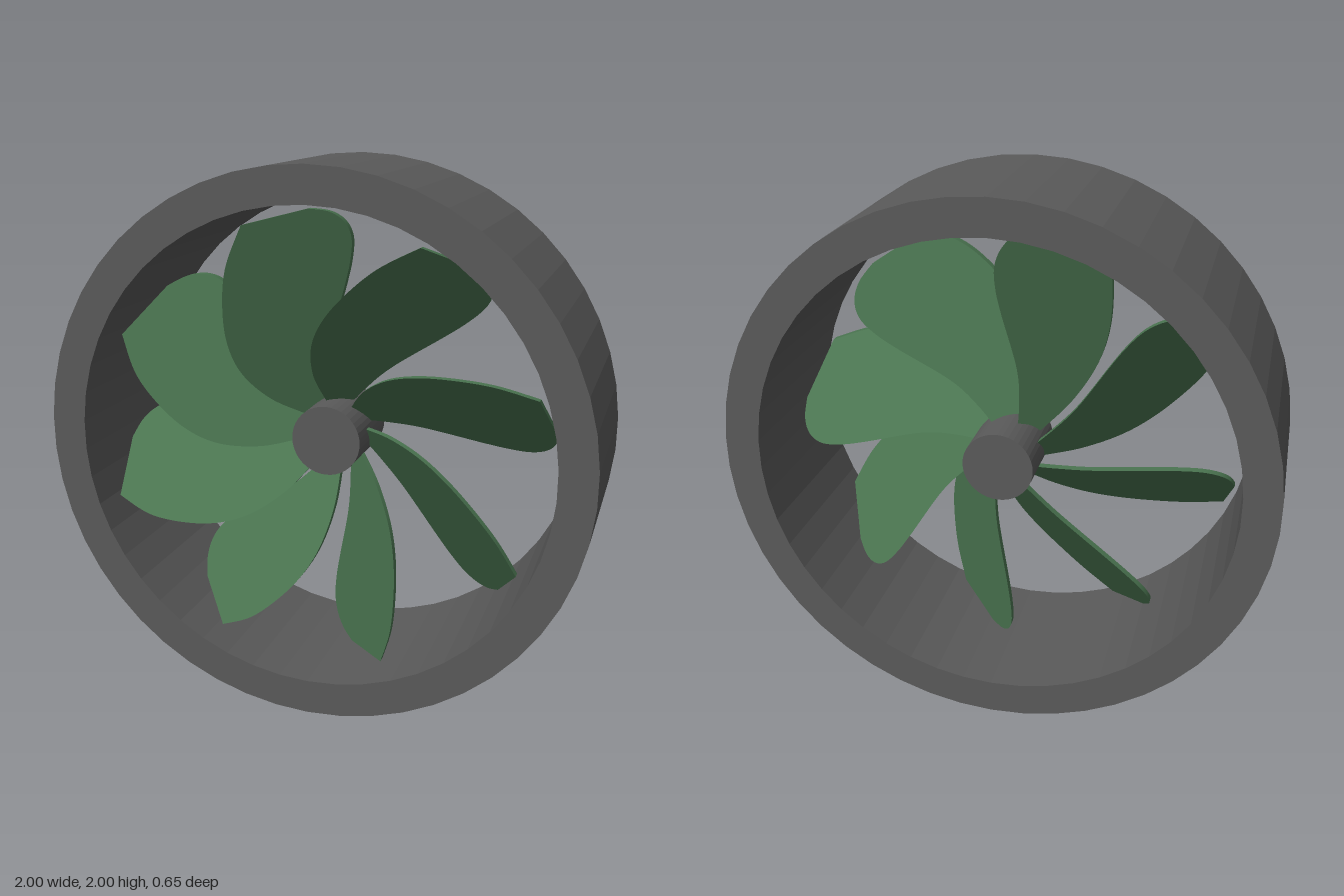
import * as THREE from 'three';

const BLADES = 8;
const RADIUS = 1, INNER = 0.87, HALF_DEPTH = 0.325;

export function createModel() {
  const grey = new THREE.MeshStandardMaterial({ color: 0x5a5a5a, flatShading: true });
  grey.name = 'dark grey';
  const green = new THREE.MeshStandardMaterial({ color: 0x4a7450, flatShading: true });
  green.name = 'green';

  const model = new THREE.Group();
  model.name = 'ductedFan';
  const add = (name, geometry, material) => {
    const mesh = new THREE.Mesh(geometry, material);
    mesh.name = name;
    mesh.position.y = RADIUS;
    model.add(mesh);
    return mesh;
  };

  // Outer duct: closed rectangular profile turned around the z axis
  const profile = [
    [RADIUS, -HALF_DEPTH], [RADIUS, HALF_DEPTH], [INNER, HALF_DEPTH],
    [INNER, -HALF_DEPTH], [RADIUS, -HALF_DEPTH],
  ].map(([r, y]) => new THREE.Vector2(r, y));
  add('duct', new THREE.LatheGeometry(profile, 50).rotateX(Math.PI / 2), grey);

  // Hub, set slightly towards the back
  const hub = add('hub', new THREE.CylinderGeometry(0.13, 0.13, 0.32, 40).rotateX(Math.PI / 2), grey);
  hub.position.z = -0.05;

  // Blade outline as seen along the axis, pointing to +x
  const v = (x, y) => new THREE.Vector2(x, y);
  const outline = new THREE.Shape();
  outline.moveTo(0.06, 0.04);
  outline.splineThru([v(0.19, 0.046), v(0.33, 0.037), v(0.545, -0.01), v(0.64, -0.027),
    v(0.717, -0.03), v(0.775, -0.01), v(0.812, 0.03), v(0.827, 0.085)]);
  outline.lineTo(0.785, 0.257);
  outline.splineThru([v(0.64, 0.302), v(0.49, 0.315), v(0.36, 0.306), v(0.25, 0.272),
    v(0.15, 0.205), v(0.08, 0.125), v(0.05, 0.08)]);
  outline.closePath();

  // Flat plate, pitched by shearing along z
  const thickness = 0.03;
  const blade = new THREE.ExtrudeGeometry(outline, { depth: thickness, bevelEnabled: false, curveSegments: 24 });
  const p = blade.attributes.position;
  for (let i = 0; i < p.count; i++) {
    p.setZ(i, p.getZ(i) - thickness / 2 - 0.13 + 0.08 * p.getX(i) + 1.15 * p.getY(i));
  }
  blade.computeVertexNormals();

  for (let i = 0; i < BLADES; i++) {
    add('blade' + (i + 1), blade, green).rotation.z = (i / BLADES) * Math.PI * 2;
  }
  return model;
}
